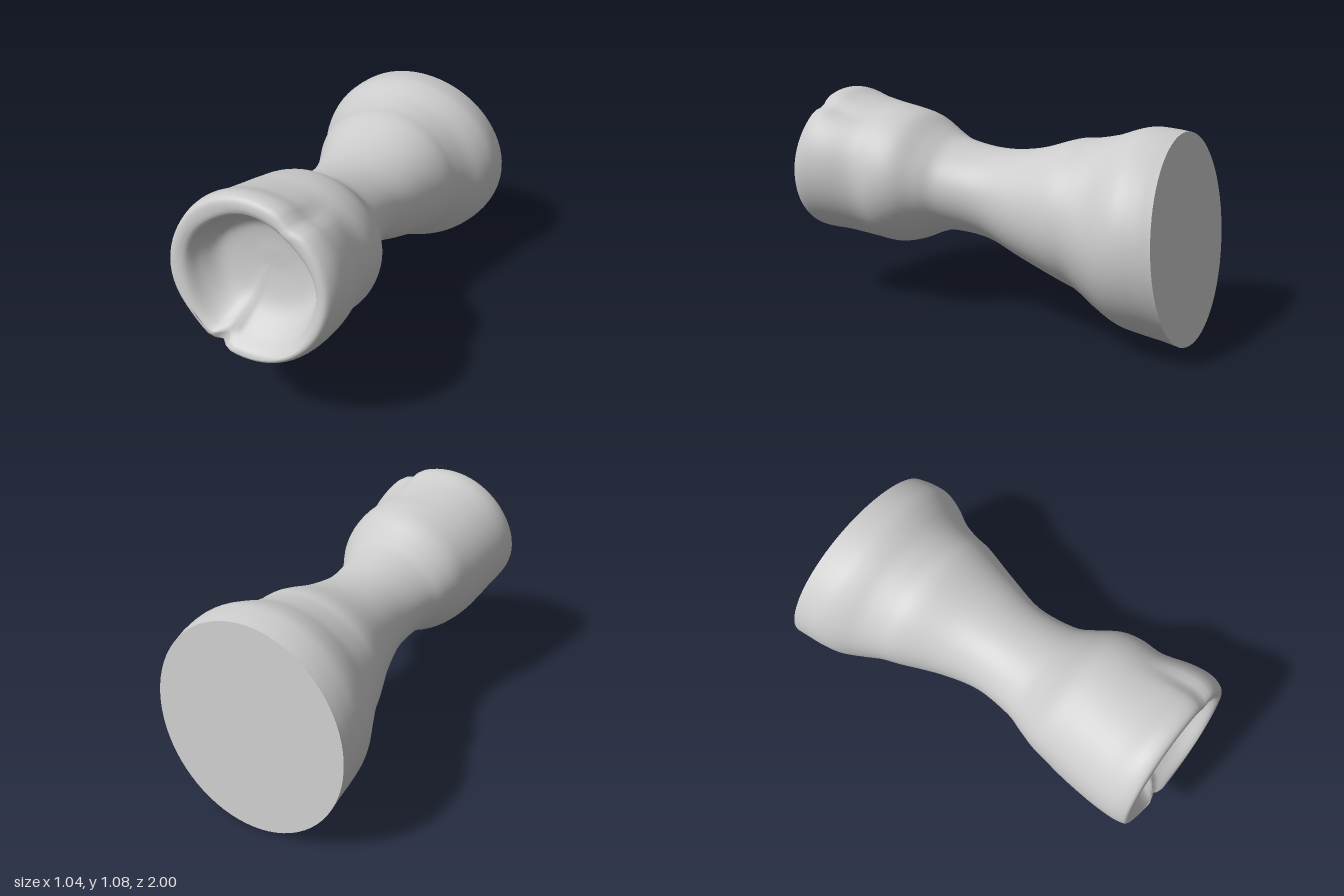
import * as THREE from 'three';

// Cross-sections along the body: [z, xMin, xMax, yMin, yMax, tilt]
const BODY = [
  [-0.95, -0.52, 0.495, 0, 0.965, 0.104],
  [-0.88, -0.515, 0.51, 0.02, 0.975, 0.1],
  [-0.79, -0.505, 0.515, 0.037, 0.978, 0.08],
  [-0.7, -0.48, 0.49, 0.055, 0.96, 0.04],
  [-0.6, -0.43, 0.44, 0.11, 0.93, 0],
  [-0.5, -0.385, 0.41, 0.18, 0.91, 0],
  [-0.4, -0.35, 0.395, 0.22, 0.9, 0],
  [-0.2, -0.265, 0.34, 0.3, 0.84, 0],
  [0, -0.215, 0.29, 0.375, 0.82, 0],
  [0.2, -0.225, 0.31, 0.395, 0.85, 0],
  [0.3, -0.255, 0.36, 0.375, 0.9, 0],
  [0.4, -0.285, 0.42, 0.33, 0.97, 0],
  [0.5, -0.3, 0.445, 0.305, 1.0, 0],
  [0.62, -0.317, 0.443, 0.312, 1.018, 0],
  [0.76, -0.33, 0.475, 0.333, 1.045, -0.04],
  [0.86, -0.33, 0.48, 0.335, 1.075, -0.08],
  [0.925, -0.32, 0.465, 0.34, 1.075, -0.1],
];
// Rolled rim and hollow end, continuing inward to the floor
const HOLLOW = [
  [0.955, -0.3, 0.44, 0.36, 1.05, -0.12],
  [0.945, -0.24, 0.4, 0.39, 1.0, -0.12],
  [0.88, -0.2, 0.38, 0.44, 0.97, -0.11],
  [0.81, -0.14, 0.345, 0.53, 0.915, -0.08],
  [0.785, -0.02, 0.24, 0.66, 0.85, -0.04],
  [0.782, 0.1, 0.102, 0.76, 0.762, 0],
];

const SIDES = 72, STEPS = 5;

// Bell-shaped weight of an angle around a direction in degrees
function bell(a, degrees, width) {
  const d = a - THREE.MathUtils.degToRad(degrees);
  const w = Math.atan2(Math.sin(d), Math.cos(d)) / width;
  return Math.exp(-w * w);
}

// Radius factor: dents and slight unevenness of the front half
function radiusFactor(a, z, inside) {
  const front = THREE.MathUtils.smoothstep(z, 0.55, 0.85);
  if (inside) return 1 - 0.12 * bell(a, 248, 0.09) * front + 0.015 * Math.sin(5 * a);
  return 1 - front * (0.06 * bell(a, 58, 0.11) + 0.045 * bell(a, 222, 0.4))
    + 0.006 * Math.sin(4 * a + 7 * z) * THREE.MathUtils.smoothstep(z, -0.9, -0.5);
}

function makeGeometry(positions, index) {
  const g = new THREE.BufferGeometry();
  g.setAttribute('position', new THREE.Float32BufferAttribute(positions, 3));
  g.setIndex(index);
  g.computeVertexNormals();
  return g;
}

export function createModel() {
  const group = new THREE.Group();
  const material = new THREE.MeshStandardMaterial({ color: 0xcccccc });
  const sections = [...BODY, ...HOLLOW];

  // Smooth curves through the section centres and sizes
  const centres = new THREE.CatmullRomCurve3(sections.map(([z, x0, x1, y0, y1]) =>
    new THREE.Vector3((x0 + x1) / 2, (y0 + y1) / 2, z)), false, 'catmullrom');
  const sizes = new THREE.CatmullRomCurve3(sections.map(([, x0, x1, y0, y1, tilt]) =>
    new THREE.Vector3((x1 - x0) / 2, (y1 - y0) / 2, tilt)), false, 'catmullrom');

  // Flared body, waist, rim and hollow as one lofted skin
  const rows = (sections.length - 1) * STEPS;
  const positions = [], index = [];
  for (let i = 0; i <= rows; i++) {
    const c = centres.getPoint(i / rows), s = sizes.getPoint(i / rows);
    const inside = i > (BODY.length + 0.5) * STEPS;
    for (let j = 0; j < SIDES; j++) {
      const a = (j / SIDES) * Math.PI * 2;
      const f = radiusFactor(a, c.z, inside);
      const dy = s.y * Math.sin(a) * f;
      // Small nick across the lower part of the rim
      const nick = 0.035 * bell(a, 250, 0.08) * THREE.MathUtils.smoothstep(c.z, 0.9, 0.95);
      positions.push(c.x + s.x * Math.cos(a) * f, c.y + dy, c.z + s.z * dy - nick);
      if (i < rows) {
        const k = (j + 1) % SIDES, p = i * SIDES, q = p + SIDES;
        index.push(p + j, p + k, q + k, p + j, q + k, q + j);
      }
    }
  }
  const body = new THREE.Mesh(makeGeometry(positions, index), material);
  body.name = 'hollowEndedBody';
  group.add(body);

  // Flat, slanted disc closing the wide end
  const first = centres.getPoint(0);
  const disc = [...positions.slice(0, SIDES * 3), first.x, first.y, first.z];
  const fan = [];
  for (let j = 0; j < SIDES; j++) fan.push(SIDES, (j + 1) % SIDES, j);
  const base = new THREE.Mesh(makeGeometry(disc, fan), material);
  base.name = 'flatBase';
  group.add(base);

  return group;
}
